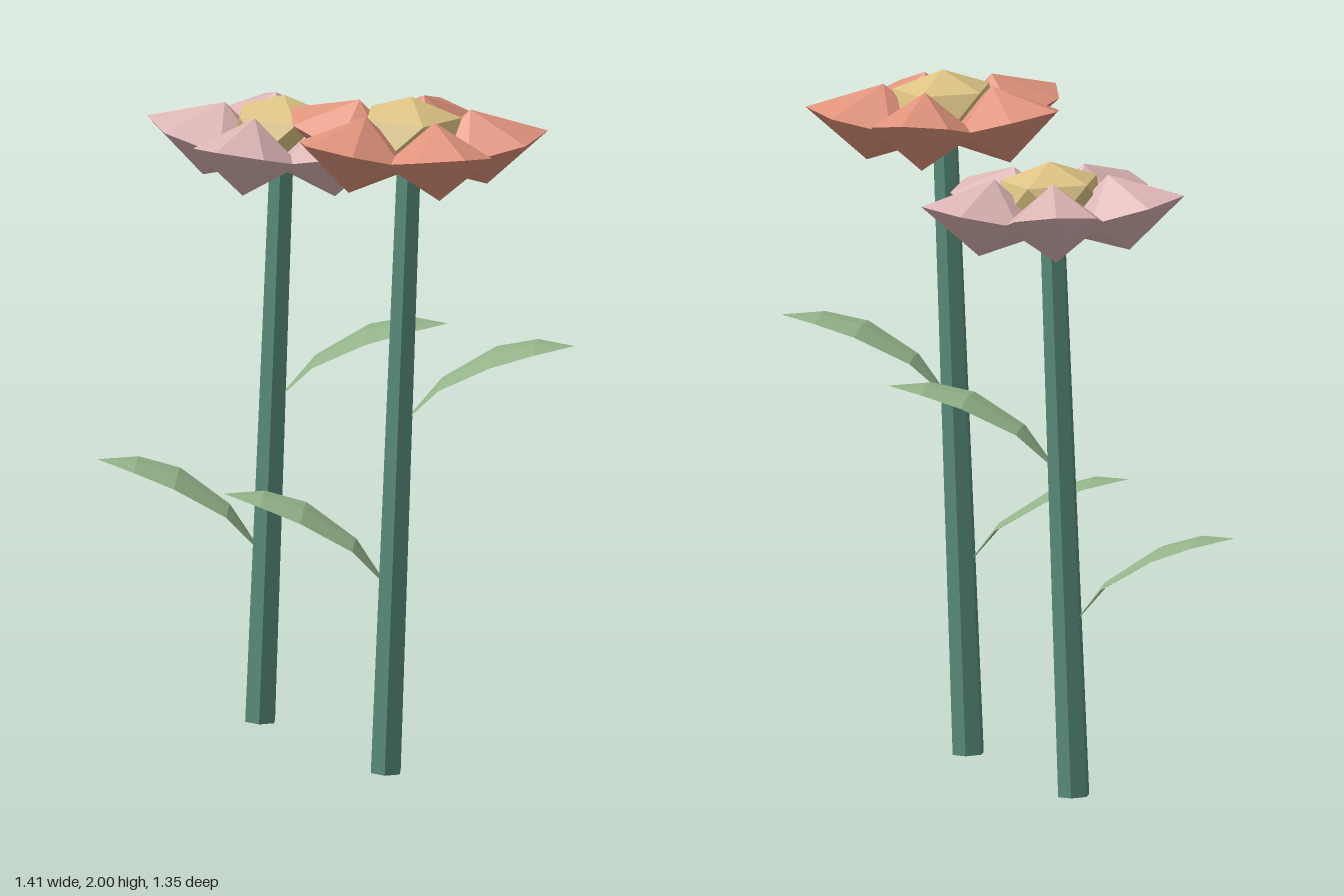
import * as THREE from 'three';

const mat = (name, color) => {
  const m = new THREE.MeshStandardMaterial({ color });
  m.name = name;
  return m;
};

// Faceted copy of a geometry
function faceted(geometry) {
  const g = geometry.index ? geometry.toNonIndexed() : geometry;
  g.computeVertexNormals();
  return g;
}

function part(name, geometry, material) {
  const mesh = new THREE.Mesh(faceted(geometry), material);
  mesh.name = name;
  return mesh;
}

// Petal: squashed seven-sided double pyramid, its outer tip raised
function petalGeometry() {
  return new THREE.SphereGeometry(1, 7, 2)
    .rotateY(Math.PI)
    .scale(0.205, 0.113, 0.15)
    .rotateZ(0.25)
    .translate(0.2, 0, 0);
}

// Leaf: thin lens-shaped sections along an arching path
function leafGeometry() {
  // distance from the stem, height, half width
  const sections = [
    [0.025, 0, 0.015], [0.115, 0.105, 0.085], [0.265, 0.193, 0.136],
    [0.385, 0.228, 0.104], [0.495, 0.238, 0.002],
  ];
  const positions = [];
  const index = [];
  sections.forEach(([x, y, w], i) => {
    const t = w * 0.1;
    positions.push(x, y, w, x, y + t, 0, x, y, -w, x, y - t, 0);
    if (i === 0) return;
    for (let j = 0; j < 4; j++) {
      const a = (i - 1) * 4 + j, b = (i - 1) * 4 + (j + 1) % 4;
      index.push(a, a + 4, b, b, a + 4, b + 4);
    }
  });
  index.push(0, 1, 2, 0, 2, 3);
  const g = new THREE.BufferGeometry();
  g.setAttribute('position', new THREE.Float32BufferAttribute(positions, 3));
  g.setIndex(index);
  return g;
}

function flower(name, o, mats) {
  const group = new THREE.Group();
  group.name = name;

  // Tapered six-sided stem
  const height = o.head - 0.03;
  group.add(part('stem', new THREE.CylinderGeometry(0.038, 0.048, height, 6).translate(0, height / 2, 0), mats.stem));

  // One leaf on each side
  const right = part('rightLeaf', leafGeometry(), mats.leaf);
  right.rotation.y = Math.PI;
  right.position.y = o.lowLeaf;
  const left = part('leftLeaf', leafGeometry(), mats.leaf);
  left.position.y = o.highLeaf;
  group.add(right, left);

  // Ring of five petals
  for (let i = 0; i < 5; i++) {
    const petal = part('petal', petalGeometry(), o.petal);
    petal.position.y = o.head;
    petal.rotation.y = THREE.MathUtils.degToRad(o.turn + i * 72);
    group.add(petal);
  }

  // Flattened icosahedron with a corner on top
  const centre = new THREE.IcosahedronGeometry(0.165, 0)
    .rotateZ(-Math.atan(2 / (1 + Math.sqrt(5))))
    .scale(1, 0.6, 1)
    .translate(0, o.head + 0.046, 0);
  group.add(part('flowerCentre', centre, mats.centre));

  group.position.set(o.x, 0, o.z);
  group.rotation.z = -0.037;
  return group;
}

export function createModel() {
  const mats = {
    stem: mat('stemGreen', 0x578a78),
    leaf: mat('leafGreen', 0x94b48a),
    centre: mat('centreYellow', 0xdcc384),
  };
  const model = new THREE.Group();
  model.name = 'flowers';
  model.add(
    flower('pinkFlower', {
      x: -0.205, z: -0.278, head: 1.71, turn: 101, lowLeaf: 0.51, highLeaf: 0.965,
      petal: mat('petalPink', 0xdcb4b4),
    }, mats),
    flower('orangeFlower', {
      x: 0.196, z: 0.323, head: 1.856, turn: 81, lowLeaf: 0.56, highLeaf: 1.05,
      petal: mat('petalOrange', 0xe0937c),
    }, mats),
  );
  return model;
}
